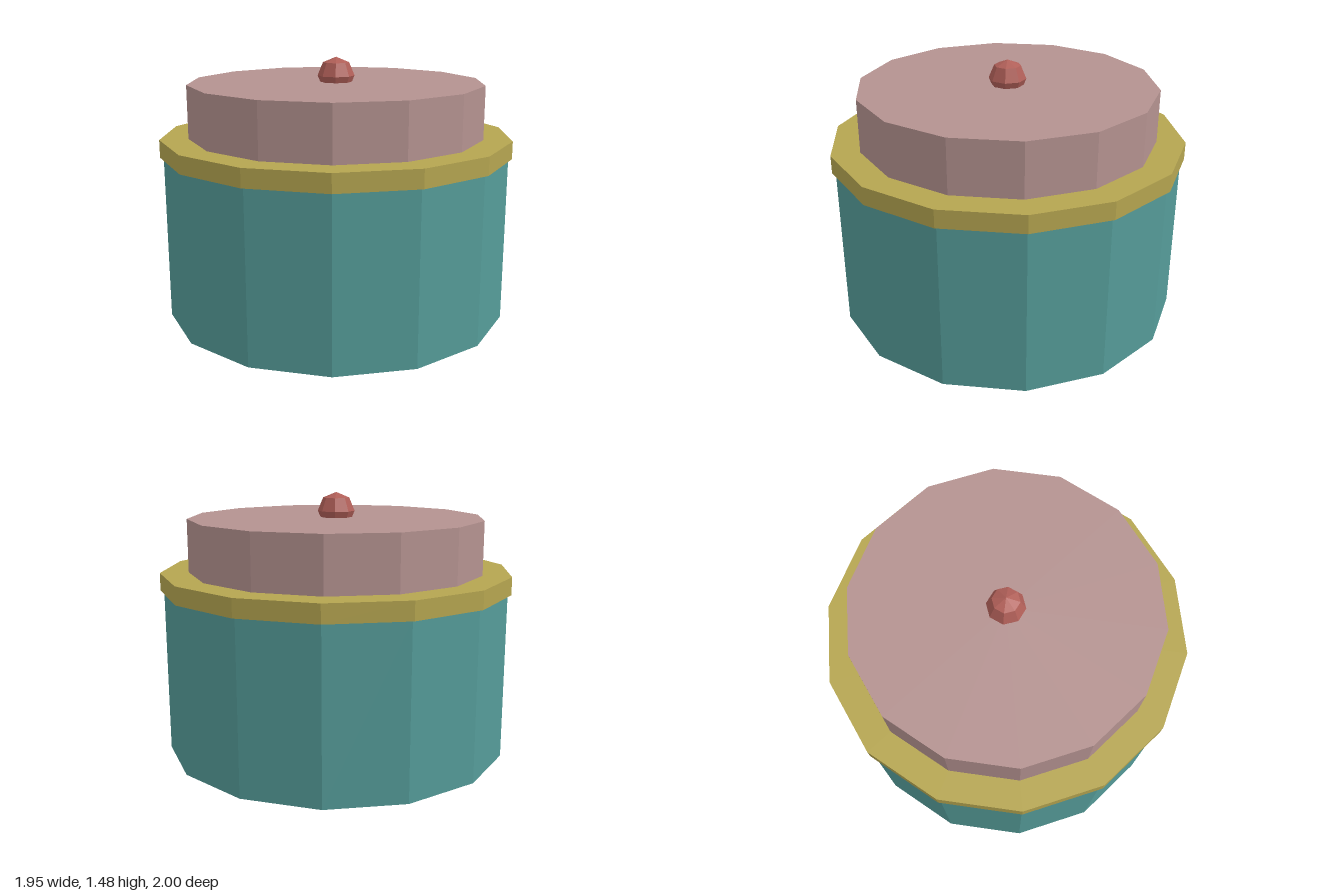
import * as THREE from 'three';

const SIDES = 14;

function addPart(group, name, geometry, color, y) {
  const material = new THREE.MeshStandardMaterial({ color, flatShading: true });
  const mesh = new THREE.Mesh(geometry, material);
  mesh.name = name;
  mesh.position.y = y;
  group.add(mesh);
}

// Faceted drum standing between two heights
function addDrum(group, name, radius, bottom, top, color) {
  const geometry = new THREE.CylinderGeometry(radius, radius, top - bottom, SIDES);
  addPart(group, name, geometry, color, (bottom + top) / 2);
}

export function createModel() {
  const model = new THREE.Group();
  model.name = 'lidded pot';

  addDrum(model, 'body', 0.98, 0, 0.935, 0x559c99);
  addDrum(model, 'rimBand', 1, 0.935, 1.035, 0xb5a550);
  addDrum(model, 'lid', 0.84, 1.035, 1.335, 0xb49290);

  // Knob sunk partly into the lid
  addPart(model, 'knob', new THREE.SphereGeometry(0.105, 8, 4), 0xb05f58, 1.37);

  return model;
}
